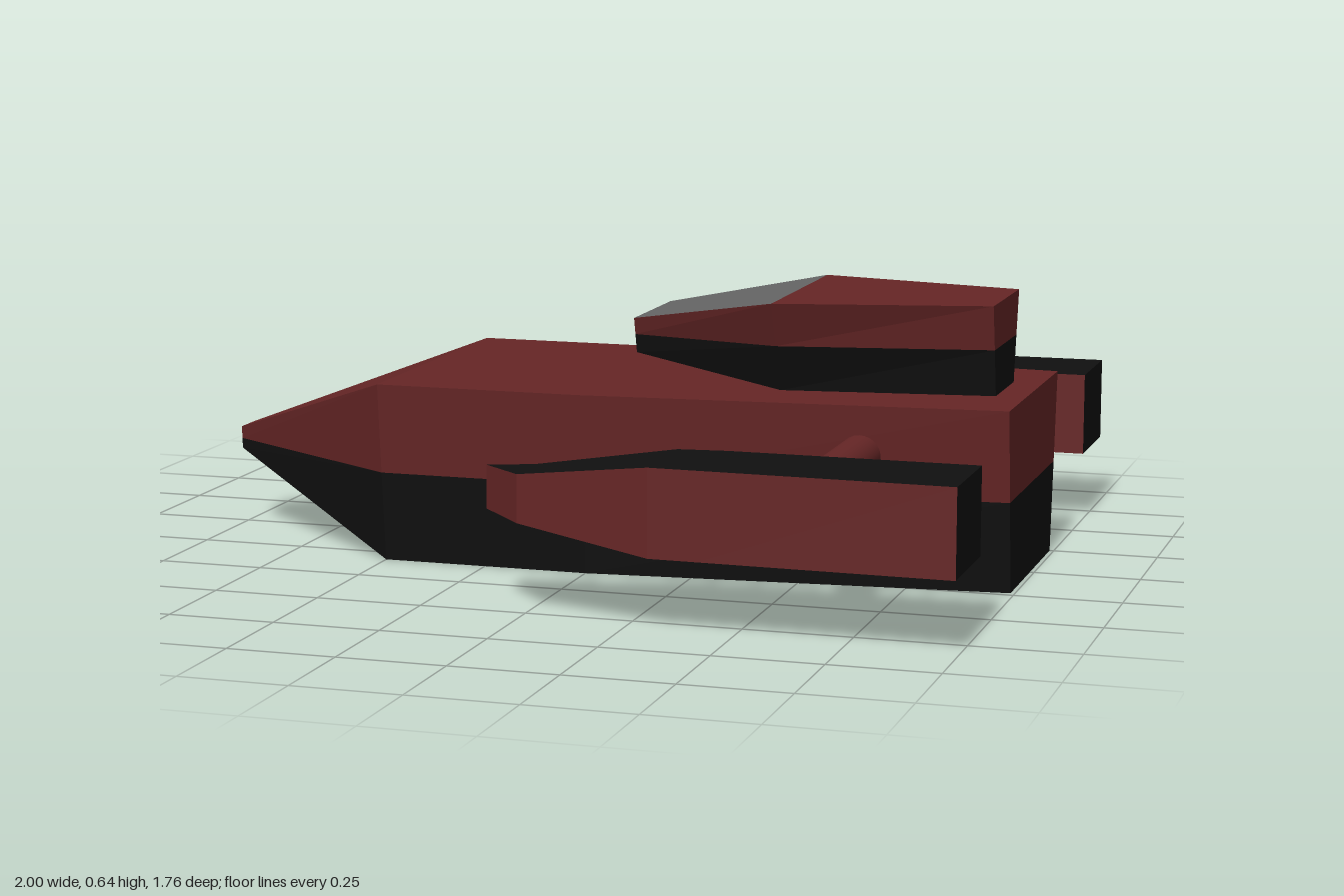
import * as THREE from 'three';

const mat = (color) => new THREE.MeshStandardMaterial({ color, flatShading: true, side: THREE.DoubleSide });
const red = mat(0x662626), black = mat(0x101010), glass = mat(0x666666);

// Four-cornered section at x: lower (y0) and upper (y1) edges, each from z = -half to +half
const section = (x, y0, half0, y1, half1, z = 0) => [
  [x, y0, z + half0], [x, y1, z + half1], [x, y1, z - half1], [x, y0, z - half0],
];

// Skin sections along x. Sides: 0 = +z wall, 1 = roof, 2 = -z wall, 3 = floor
function loft(name, material, rings, sides, front = false, back = false) {
  const pos = [];
  const quad = (a, b, c, d) => pos.push(...a, ...b, ...c, ...a, ...c, ...d);
  for (let i = 0; i < rings.length - 1; i++) {
    const r = rings[i], n = rings[i + 1];
    for (const k of sides) quad(r[k], n[k], n[(k + 1) % 4], r[(k + 1) % 4]);
  }
  const f = rings[0], e = rings[rings.length - 1];
  if (front) quad(f[0], f[1], f[2], f[3]);
  if (back) quad(e[0], e[3], e[2], e[1]);
  const geo = new THREE.BufferGeometry();
  geo.setAttribute('position', new THREE.Float32BufferAttribute(pos, 3));
  geo.computeVertexNormals();
  const mesh = new THREE.Mesh(geo, material);
  mesh.name = name;
  return mesh;
}

function createHull() {
  const hull = new THREE.Group();
  hull.name = 'hull';
  const seam = 0.215, z = -0.01;
  // x, bottom y, bottom half, seam half, top y, top half
  const stations = [
    [-1, 0.19, 0.036, 0.038, 0.245, 0.04],
    [-0.5, 0, 0.335, 0.358, 0.43, 0.38],
    [0, 0, 0.335, 0.358, 0.43, 0.38],
    [0.99, 0, 0.24, 0.268, 0.43, 0.295],
  ];
  hull.add(
    loft('upperHull', red, stations.map(([x, , , m, y, t]) => section(x, seam, m, y, t, z)), [0, 1, 2], true, true),
    loft('lowerHull', black, stations.map(([x, y, b, m]) => section(x, y, b, seam, m, z)), [0, 2, 3], true, true),
  );
  return hull;
}

function createCabin() {
  const cabin = new THREE.Group();
  cabin.name = 'cabin';
  const seam = 0.54, z = -0.012;
  const stations = [
    [0.06, 0.495, 0.125, 0.137, 0.58, 0.148],
    [0.425, 0.43, 0.173, 0.218, 0.645, 0.262],
    [0.92, 0.43, 0.105, 0.127, 0.645, 0.15],
  ];
  const upper = stations.map(([x, , , m, y, t]) => section(x, seam, m, y, t, z));
  const lower = stations.map(([x, y, b, m]) => section(x, y, b, seam, m, z));
  cabin.add(
    loft('cabinWalls', red, upper, [0, 2], true, true),
    loft('cabinRoof', red, upper.slice(1), [1]),
    loft('windshield', glass, upper.slice(0, 2), [1]),
    loft('cabinBase', black, lower, [0, 2, 3], true, true),
  );
  return cabin;
}

function createNacelle(s) {
  const nacelle = new THREE.Group();
  nacelle.name = s > 0 ? 'frontNacelle' : 'rearNacelle';
  // x, inner z, outer z, half height
  const rings = [
    [-0.11, 0.695, 0.695, 0.05],
    [0, 0.682, 0.805, 0.055],
    [0.32, 0.643, 0.87, 0.1],
    [0.43, 0.63, 0.872, 0.1],
    [1, 0.63, 0.882, 0.1],
  ].map(([x, zi, zo, h]) => {
    const half = (zo - zi) / 2;
    return section(x, 0.27 - h, half, 0.27 + h, half, s * (zi + zo) / 2);
  });
  nacelle.add(
    loft('nacelleSides', red, rings, [0, 2]),
    loft('nacelleShell', black, rings, [1, 3], false, true),
  );

  // Round strut joining the nacelle to the hull
  const strut = new THREE.Mesh(
    new THREE.CylinderGeometry(0.048, 0.048, 0.35, 24),
    new THREE.MeshStandardMaterial({ color: red.color }),
  );
  strut.name = 'strut';
  strut.rotation.x = Math.PI / 2;
  strut.position.set(0.65, 0.313, s * 0.465);
  nacelle.add(strut);
  return nacelle;
}

export function createModel() {
  const ship = new THREE.Group();
  ship.name = 'spaceship';
  ship.add(createHull(), createCabin(), createNacelle(1), createNacelle(-1));
  return ship;
}
